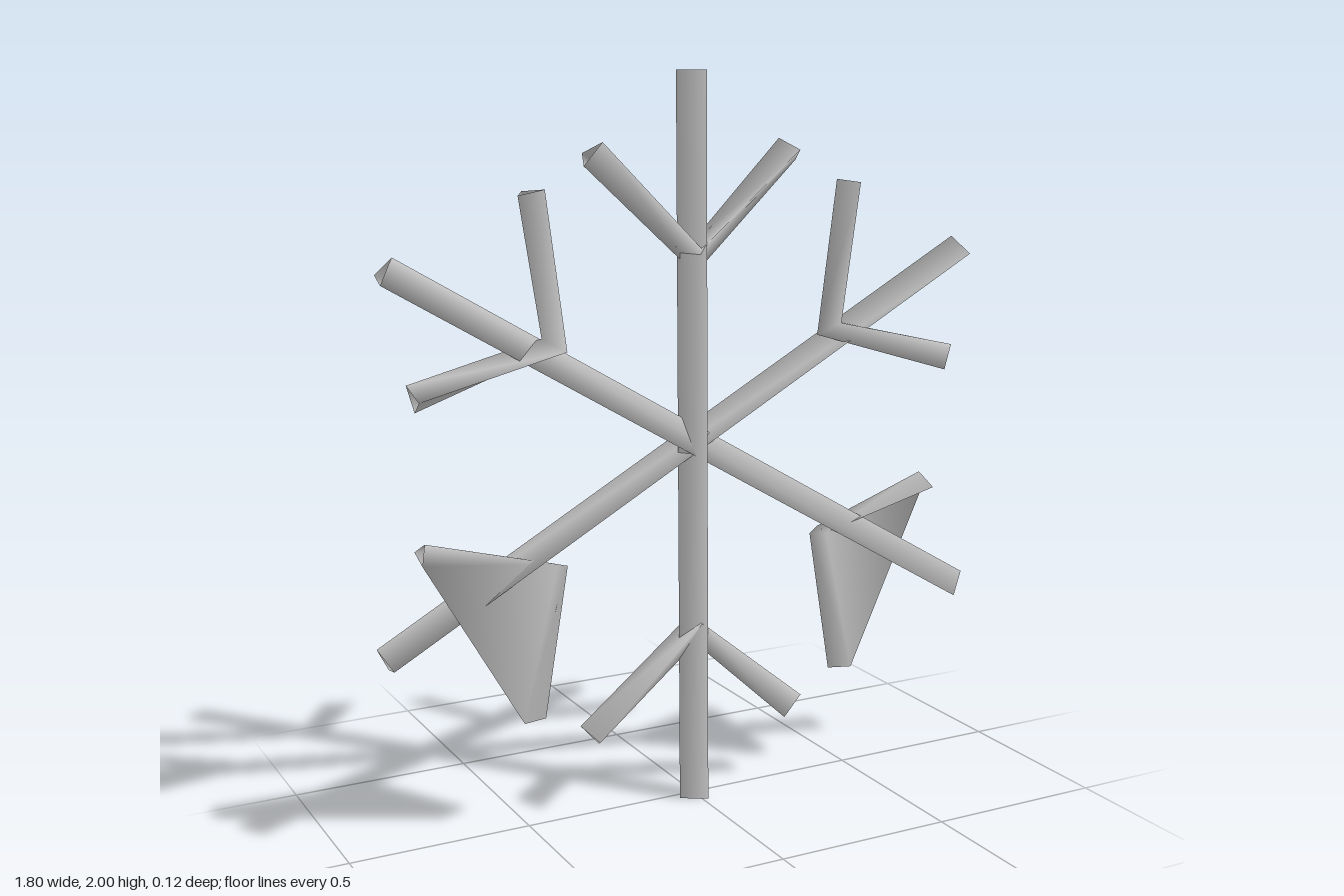
import * as THREE from 'three';

const silver = new THREE.MeshStandardMaterial({ color: 0xc0c0c0, side: THREE.DoubleSide });
silver.name = 'silver';

// smooth-shaded mesh from points and triangle corners
function surface(name, points, index) {
  const geo = new THREE.BufferGeometry();
  geo.setAttribute('position', new THREE.Float32BufferAttribute(points.flat(), 3));
  geo.setIndex(index);
  geo.computeVertexNormals();
  const mesh = new THREE.Mesh(geo, silver);
  mesh.name = name;
  return mesh;
}

// open three-sided tube along a path near the xy plane; one roll angle (degrees)
// per point: 90 puts a ridge at the front, -90 a ridge at the back
function bar(name, path, rolls, r = 0.046) {
  const points = [], index = [];
  path.forEach((p, k) => {
    // average the unit directions of the neighbouring segments
    const dir = new THREE.Vector2();
    for (const j of [k - 1, k]) {
      if (j < 0 || j + 1 >= path.length) continue;
      const a = path[j], b = path[j + 1];
      dir.add(new THREE.Vector2(b[0] - a[0], b[1] - a[1]).normalize());
    }
    dir.normalize();
    for (let i = 0; i < 3; i++) {
      const angle = THREE.MathUtils.degToRad(rolls[k] + i * 120);
      const n = r * Math.cos(angle);
      points.push([p[0] - dir.y * n, p[1] + dir.x * n, p[2] + r * Math.sin(angle)]);
      if (k === 0) continue;
      const a = (k - 1) * 3 + i, a2 = (k - 1) * 3 + ((i + 1) % 3);
      index.push(a, a2, a2 + 3, a, a2 + 3, a + 3);
    }
  });
  return surface(name, points, index);
}

// forked twig whose two prongs are joined by a web
function webbedTwig(name) {
  return surface(name, [
    [0.373, 0.71, 0.005], [0.41, 0.715, 0.036], [0.41, 0.724, -0.014], // fork
    [0.445, 0.297, 0], [0.5, 0.303, 0.036], [0.52, 0.305, -0.033],     // inner prong tip
    [0.79, 0.835, -0.058], [0.797, 0.778, -0.056], [0.795, 0.8, 0.008], // outer prong tip
  ], [
    1, 4, 7, 4, 5, 7,             // front of the web and its lower edge
    2, 6, 7, 2, 7, 5,             // back of the web
    1, 8, 6, 1, 6, 2, 1, 7, 8,    // outer prong, tapering to the fork
    0, 3, 4, 0, 4, 1,             // inner prong
    0, 5, 3, 0, 2, 5, 0, 1, 2,
  ]);
}

export function createModel() {
  const model = new THREE.Group();
  model.name = 'snowflake';

  // three long bars crossing at the middle
  model.add(bar('uprightBar', [[-0.008, 0, 0.025], [-0.008, 2, 0.009]], [0, 0]));
  model.add(bar('risingBar', [[-0.88, 0.517, -0.004], [0.873, 1.495, -0.004]], [105, 105], 0.045));
  model.add(bar('fallingBar', [[-0.86, 1.515, 0.01], [0.873, 0.497, 0.01]], [-105, -105], 0.045));

  // forked twigs on the upright bar, rolling over along their length
  model.add(bar('topTwig',
    [[-0.305, 1.79, 0.015], [0, 1.515, 0.013], [0.305, 1.79, -0.005]], [-90, -60, -30]));
  model.add(bar('bottomTwig',
    [[-0.305, 0.215, -0.005], [0, 0.49, 0.015], [0.305, 0.215, 0.012]], [90, 60, 30]));

  // forked twigs on the two upper arms
  for (const s of [1, -1]) {
    model.add(bar(s > 0 ? 'leftTwig' : 'rightTwig', [
      [s * 0.485, 1.7, 0.03 - s * 0.008],
      [s * 0.413, 1.305, 0.025],
      [s * 0.795, 1.195, 0.03 + s * 0.01],
    ], [s * 90, s * 60, s * 30], 0.043));
  }

  // webbed twigs on the two lower arms, turned half round for the other side
  const right = webbedTwig('rightWebbedTwig');
  right.rotation.y = Math.PI;
  model.add(webbedTwig('leftWebbedTwig'), right);
  return model;
}
